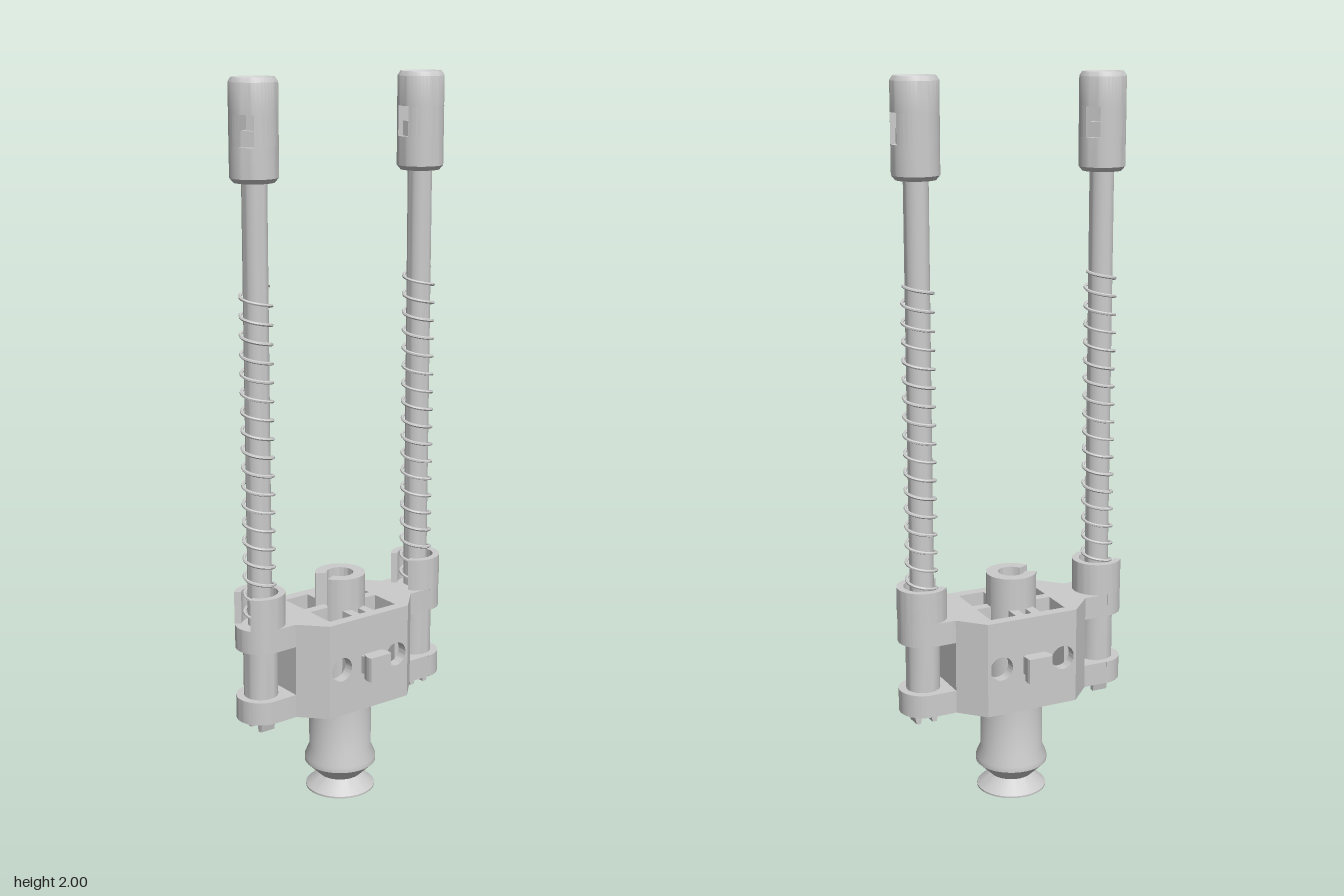
import * as THREE from 'three';
import { toCreasedNormals } from 'three/addons/utils/BufferGeometryUtils.js';

const mat = new THREE.MeshStandardMaterial({ color: 0xcccccc, side: THREE.DoubleSide });

function add(parent, name, geo) {
  const m = new THREE.Mesh(toCreasedNormals(geo, 0.6), mat);
  m.name = name;
  parent.add(m);
  return m;
}
// polygon from [x, y] pairs
const poly = (pts) => new THREE.Shape(pts.map(([x, y]) => new THREE.Vector2(x, y)));
const circle = (r, x = 0, y = 0) => new THREE.Shape().absarc(x, y, r, 0, Math.PI * 2, false);
function withHoles(shape, ...holes) {
  shape.holes.push(...holes);
  return shape;
}
// plan outline raised from y0 to y1
function slab(shape, y0, y1) {
  return new THREE.ExtrudeGeometry(shape, { depth: y1 - y0, bevelEnabled: false, curveSegments: 24 })
    .rotateX(-Math.PI / 2).translate(0, y0, 0);
}
// front outline extruded from z0 to z1
function plate(shape, z0, z1) {
  return new THREE.ExtrudeGeometry(shape, { depth: z1 - z0, bevelEnabled: false, curveSegments: 24 })
    .translate(0, 0, z0);
}
function box(x0, x1, y0, y1, z0, z1) {
  return new THREE.BoxGeometry(x1 - x0, y1 - y0, z1 - z0)
    .translate((x0 + x1) / 2, (y0 + y1) / 2, (z0 + z1) / 2);
}
function lathe(pts) {
  return new THREE.LatheGeometry(pts.map(([r, y]) => new THREE.Vector2(r, y)), 40);
}
// ring open towards -x, g is half of the gap angle
function openRing(ro, ri, g) {
  const s = new THREE.Shape();
  s.absarc(0, 0, ro, -Math.PI + g, Math.PI - g, false);
  s.absarc(0, 0, ri, Math.PI - g, -Math.PI + g, true);
  s.closePath();
  return s;
}

class Helix extends THREE.Curve {
  constructor(r, y0, y1, turns) {
    super();
    Object.assign(this, { r, y0, y1, turns });
  }
  getPoint(t, out = new THREE.Vector3()) {
    const a = t * this.turns * Math.PI * 2;
    return out.set(this.r * Math.cos(a), this.y0 + (this.y1 - this.y0) * t, this.r * Math.sin(a));
  }
}

function makeBody() {
  const g = new THREE.Group();
  g.name = 'body';
  const B = 0.285, F = 0.31, T = 0.555;
  // floor plate with central bore
  const plan = poly([[-0.2, -0.067], [-0.135, -0.135], [0.135, -0.135], [0.2, -0.067],
    [0.2, 0.067], [0.135, 0.135], [-0.135, 0.135], [-0.2, 0.067]]);
  add(g, 'floorPlate', slab(withHoles(plan, circle(0.037)), B, F));

  for (const s of [-1, 1]) {
    // chamfered end block
    add(g, 'endBlock', slab(poly([[0.113, -0.105], [0.135, -0.105], [0.135, -0.135], [0.2, -0.067],
      [0.2, 0.067], [0.135, 0.135], [0.135, 0.105], [0.113, 0.105]].map(([x, z]) => [x * s, z])), F, T));
    // front and back walls with two round holes
    const wall = withHoles(poly([[-0.135, F], [0.135, F], [0.135, T], [-0.135, T]]),
      circle(0.034, -0.094, 0.42), circle(0.034, 0.094, 0.42));
    add(g, 'wall', plate(wall, s > 0 ? 0.105 : -0.135, s > 0 ? 0.135 : -0.105));
    // cross rib between the pockets
    const rib = withHoles(poly([[s * 0.045, F], [s * 0.113, F], [s * 0.113, T], [s * 0.045, T]]),
      circle(0.026, s * 0.078, 0.42));
    add(g, 'crossRib', plate(rib, -0.014, 0.014));
    // curved pocket floor
    const fillet = new THREE.Shape();
    fillet.moveTo(s * 0.037, F);
    fillet.lineTo(s * 0.113, F);
    fillet.quadraticCurveTo(s * 0.04, F, s * 0.037, 0.385);
    add(g, 'pocketFloor', plate(fillet, -0.105, 0.105));
    // grooved spine joining wall and collar
    const z0 = s > 0 ? 0.06 : -0.105, z1 = s > 0 ? 0.105 : -0.06;
    add(g, 'spine', box(-0.037, 0.037, F, 0.5, z0, z1));
    for (const k of [-1, 1]) {
      add(g, 'spineRail', box(Math.min(k * 0.011, k * 0.037), Math.max(k * 0.011, k * 0.037), 0.5, T, z0, z1));
    }
    // square peg with a bulged head
    const head = poly([[-0.029, 0.15], [0.029, 0.15]]);
    head.quadraticCurveTo(0.041, 0.17, 0.034, 0.188);
    head.lineTo(-0.034, 0.188);
    head.quadraticCurveTo(-0.041, 0.17, -0.029, 0.15);
    const peg = new THREE.Group();
    peg.name = 'peg';
    peg.rotation.y = s > 0 ? Math.PI : 0;
    add(peg, 'pegHead', slab(head, 0.385, 0.455));
    add(peg, 'pegNeck', box(-0.028, 0.028, 0.395, 0.445, -0.152, -0.13));
    g.add(peg);
  }
  // central collar, split at the top
  add(g, 'collarBase', slab(withHoles(circle(0.07), circle(0.037)), F, 0.5));
  add(g, 'collar', slab(openRing(0.07, 0.037, 0.42), 0.5, 0.645));
  return g;
}

// lug plan: rod hole ring joined to the body by an arm on the side given by s
function lugPlan(s, hole) {
  const p = new THREE.Shape();
  p.moveTo(-s * 0.08, -s * 0.066);
  p.lineTo(0, -s * 0.066);
  p.absarc(0, 0, 0.067, -s * Math.PI / 2, s * Math.PI / 2, s < 0);
  p.absarc(0, 0, 0.067, Math.PI / 2, Math.PI / 2 + 0.01, false);
  p.lineTo(-s * 0.08, 0.066 * s);
  return withHoles(p, circle(hole));
}
function makeLugPlan(s, hole) {
  // right-hand outline, turned half a revolution for the other side
  const g = new THREE.Shape();
  g.moveTo(-0.08, -0.067);
  g.lineTo(0, -0.067);
  g.absarc(0, 0, 0.068, -Math.PI / 2, Math.PI / 2, false);
  g.lineTo(-0.08, 0.067);
  g.closePath();
  return withHoles(g, circle(hole));
}

function makeColumn(s) {
  const g = new THREE.Group();
  g.name = s > 0 ? 'leftColumn' : 'rightColumn';
  g.position.x = s * 0.27;
  // lower and upper lugs, upper one carrying a split ring
  for (const [name, y0, y1] of [['lowerLug', 0.285, 0.35], ['upperLug', 0.49, 0.555]]) {
    add(g, name, slab(makeLugPlan(s, 0.03), y0, y1)).rotation.y = s > 0 ? 0 : Math.PI;
  }
  add(g, 'splitRing', slab(openRing(0.069, 0.05, 0.6), 0.555, 0.645));
  // rod with sleeve
  add(g, 'rod', new THREE.CylinderGeometry(0.033, 0.033, 1.47, 32).translate(0, 1.02, 0));
  add(g, 'sleeve', new THREE.CylinderGeometry(0.047, 0.047, 0.14, 32).translate(0, 0.42, 0));
  // coil spring
  add(g, 'spring', new THREE.TubeGeometry(new Helix(0.041, 0.56, 1.47, 18), 500, 0.0045, 6));
  // split tip below the lower lug
  const tip = new THREE.Group();
  tip.name = 'splitTip';
  tip.rotation.y = s > 0 ? 0 : Math.PI / 2;
  for (const k of [-1, 1]) {
    add(tip, 'prong', plate(poly([[k * 0.012, 0.3], [k * 0.04, 0.3], [k * 0.03, 0.25], [k * 0.017, 0.25]]), -0.022, 0.022));
  }
  g.add(tip);

  // cap with side windows and a slotted mouth
  const cap = new THREE.Group();
  cap.name = 'cap';
  cap.rotation.y = s > 0 ? 0 : 0.65;
  const R = 0.063;
  add(cap, 'capBase', lathe([[0, 1.74], [0.053, 1.74], [R, 1.752], [R, 1.83], [0, 1.83]]));
  const a = Math.asin(0.021 / R);
  for (const k of [0, Math.PI]) {
    const side = new THREE.Shape();
    side.absarc(0, 0, R, k + a, k + Math.PI - a, false);
    side.closePath();
    add(cap, 'windowSide', slab(side, 1.83, 1.91));
  }
  const b = 0.6;
  const mouth = new THREE.Path();
  mouth.absarc(0, 0, 0.037, -b, b, false);
  mouth.absarc(0, 0, 0.037, Math.PI - b, Math.PI + b, false);
  mouth.closePath();
  add(cap, 'capTop', slab(withHoles(circle(0.048), mouth), 1.91, 1.995));
  add(cap, 'capRim', lathe([[0.047, 1.91], [R, 1.91], [R, 1.988], [0.055, 2.0], [0.048, 1.995]]));
  add(cap, 'latchBar', box(-0.03, 0.03, 1.82, 1.96, -0.009, 0.009));
  add(cap, 'latchFoot', box(-0.045, 0.045, 1.83, 1.87, -0.019, 0.019));
  g.add(cap);
  return g;
}

export function createModel() {
  const model = new THREE.Group();
  model.name = 'springGripper';
  model.add(makeBody(), makeColumn(-1), makeColumn(1));
  // hollow nozzle with bellows cup
  add(model, 'nozzle', lathe([[0.037, 0.29], [0.088, 0.29], [0.088, 0.125], [0.101, 0.095], [0.101, 0.08],
    [0.06, 0.04], [0.098, 0.005], [0.098, 0], [0.093, 0], [0.05, 0.04], [0.085, 0.085], [0.07, 0.12],
    [0.037, 0.14], [0.037, 0.29]]));
  return model;
}
